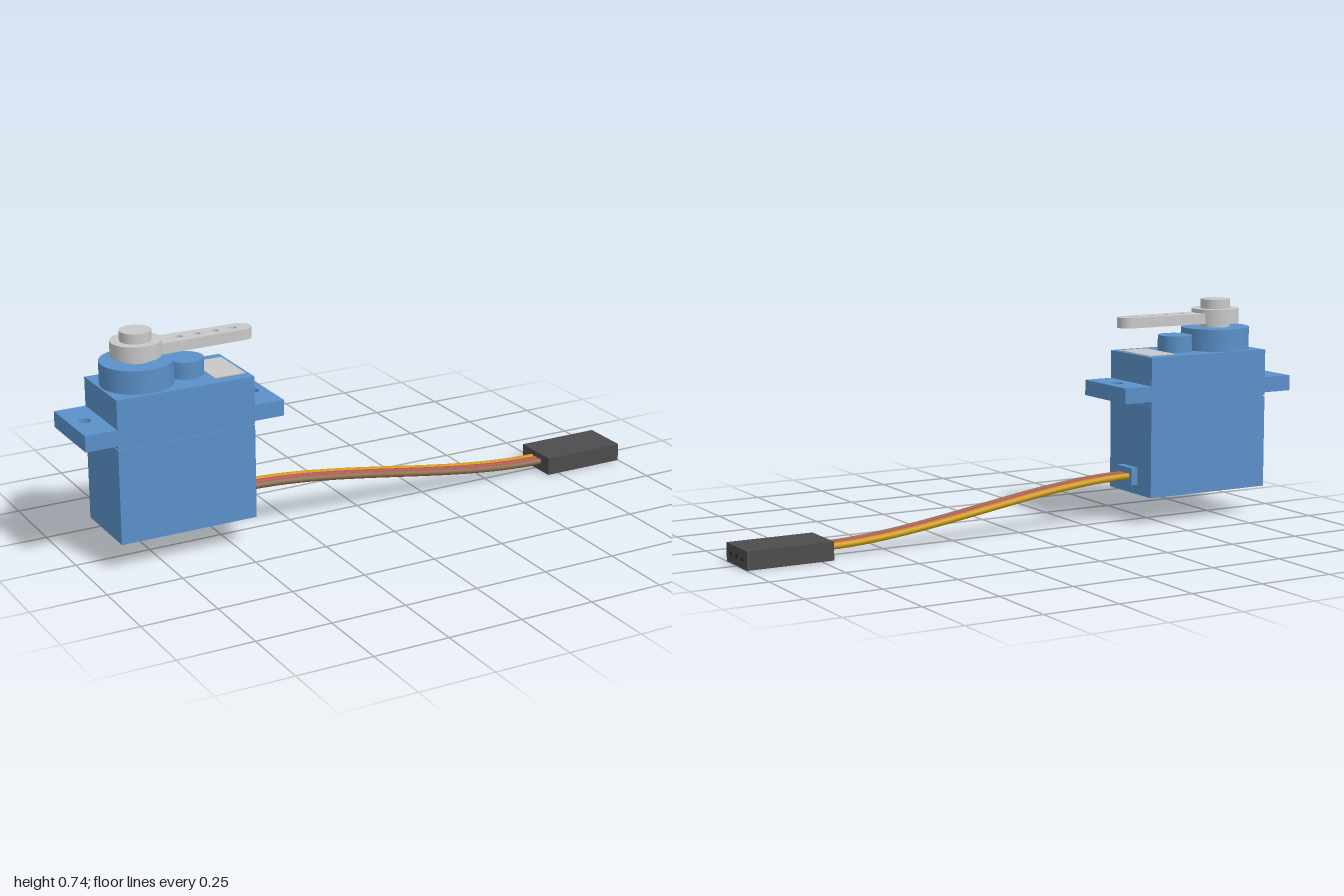
import * as THREE from 'three';

const mat = (name, color, side = THREE.FrontSide) => {
  const m = new THREE.MeshStandardMaterial({ color, side });
  m.name = name;
  return m;
};

export function createModel() {
  const blue = mat('blue plastic', 0x5a90c8);
  const grey = mat('pale grey plastic', 0xc8c8c8);
  const dark = mat('charcoal plastic', 0x4c4b4e);
  const black = mat('socket black', 0x262628);
  const brown = mat('brown wire', 0x8e6a4c);
  const red = mat('red wire', 0xbe4a50);
  const yellow = mat('yellow wire', 0xc89a08);

  const model = new THREE.Group();
  const add = (name, geometry, material) => {
    const mesh = new THREE.Mesh(geometry, material);
    mesh.name = name;
    model.add(mesh);
    return mesh;
  };
  // Box given by its limits on each axis
  const box = (name, m, x0, x1, y0, y1, z0, z1) =>
    add(name, new THREE.BoxGeometry(x1 - x0, y1 - y0, z1 - z0), m)
      .position.set((x0 + x1) / 2, (y0 + y1) / 2, (z0 + z1) / 2);
  // Upright cylinder between two heights
  const drum = (name, m, x, r, y0, y1) =>
    add(name, new THREE.CylinderGeometry(r, r, y1 - y0, 32), m)
      .position.set(x, (y0 + y1) / 2, 0);
  // Flat outline with round holes on its centre line, extruded upwards
  const plate = (name, m, shape, holes, r, y0, y1) => {
    for (const x of holes) {
      const hole = new THREE.Path();
      hole.absarc(x, 0, r, 0, Math.PI * 2, true);
      shape.holes.push(hole);
    }
    const g = new THREE.ExtrudeGeometry(shape, { depth: y1 - y0, bevelEnabled: false, curveSegments: 14 });
    g.rotateX(-Math.PI / 2);
    add(name, g, m).position.y = y0;
  };

  // Case: two halves with a narrow seam groove
  const L = -0.895, R = -0.433, W = 0.126;
  box('lowerCase', blue, L, R, 0.094, 0.404, -W, W);
  box('seam', blue, L + 0.004, R - 0.004, 0.404, 0.409, -W + 0.004, W - 0.004);
  box('upperCase', blue, L, R, 0.409, 0.565, -W, W);

  // Mounting tabs with screw holes
  for (const [name, x0, x1, hx] of [['rightMountingTab', -1, L, -0.95], ['leftMountingTab', R, -0.331, -0.378]]) {
    const s = new THREE.Shape();
    s.moveTo(x0, -W).lineTo(x1, -W).lineTo(x1, W).lineTo(x0, W).closePath();
    plate(name, blue, s, [hx], 0.02, 0.418, 0.47);
  }

  // Gear housing on top, and the label plate
  const axis = -0.773;
  drum('gearHousing', blue, axis, 0.116, 0.565, 0.64);
  drum('idlerHousing', blue, -0.609, 0.058, 0.565, 0.62);
  box('topLabel', grey, -0.549, -0.445, 0.565, 0.568, -0.087, 0.087);

  // Output shaft, hub and horn arm
  drum('outputShaft', grey, axis, 0.05, 0.64, 0.735);
  drum('hornHub', grey, axis, 0.08, 0.654, 0.703);
  const arm = new THREE.Shape();
  const tip = -0.418, tipR = 0.035;
  arm.moveTo(-0.73, -0.042).lineTo(tip, -tipR);
  arm.absarc(tip, 0, tipR, -Math.PI / 2, Math.PI / 2, false);
  arm.lineTo(-0.73, 0.042).closePath();
  plate('hornArm', grey, arm, [-0.628, -0.567, -0.505, -0.443], 0.012, 0.655, 0.69);

  // Cable exit and three wires in a gentle S
  box('cableExit', blue, R, -0.409, 0.127, 0.185, -0.045, 0.045);
  [['brownWire', brown, 0.023], ['redWire', red, 0], ['yellowWire', yellow, -0.023]].forEach(([name, m, z]) => {
    const path = new THREE.CubicBezierCurve3(
      new THREE.Vector3(-0.42, 0.155, z), new THREE.Vector3(-0.05, 0.155, z),
      new THREE.Vector3(0.35, 0.03, z), new THREE.Vector3(0.72, 0.032, z));
    add(name, new THREE.TubeGeometry(path, 40, 0.011, 12), m);
  });

  // Plug with three sockets in its end
  box('plug', dark, 0.708, 0.999, 0, 0.06, -0.08, 0.08);
  for (const z of [-0.045, 0, 0.045])
    box('plugSocket', black, 0.997, 1, 0.024, 0.036, z - 0.006, z + 0.006);

  return model;
}
